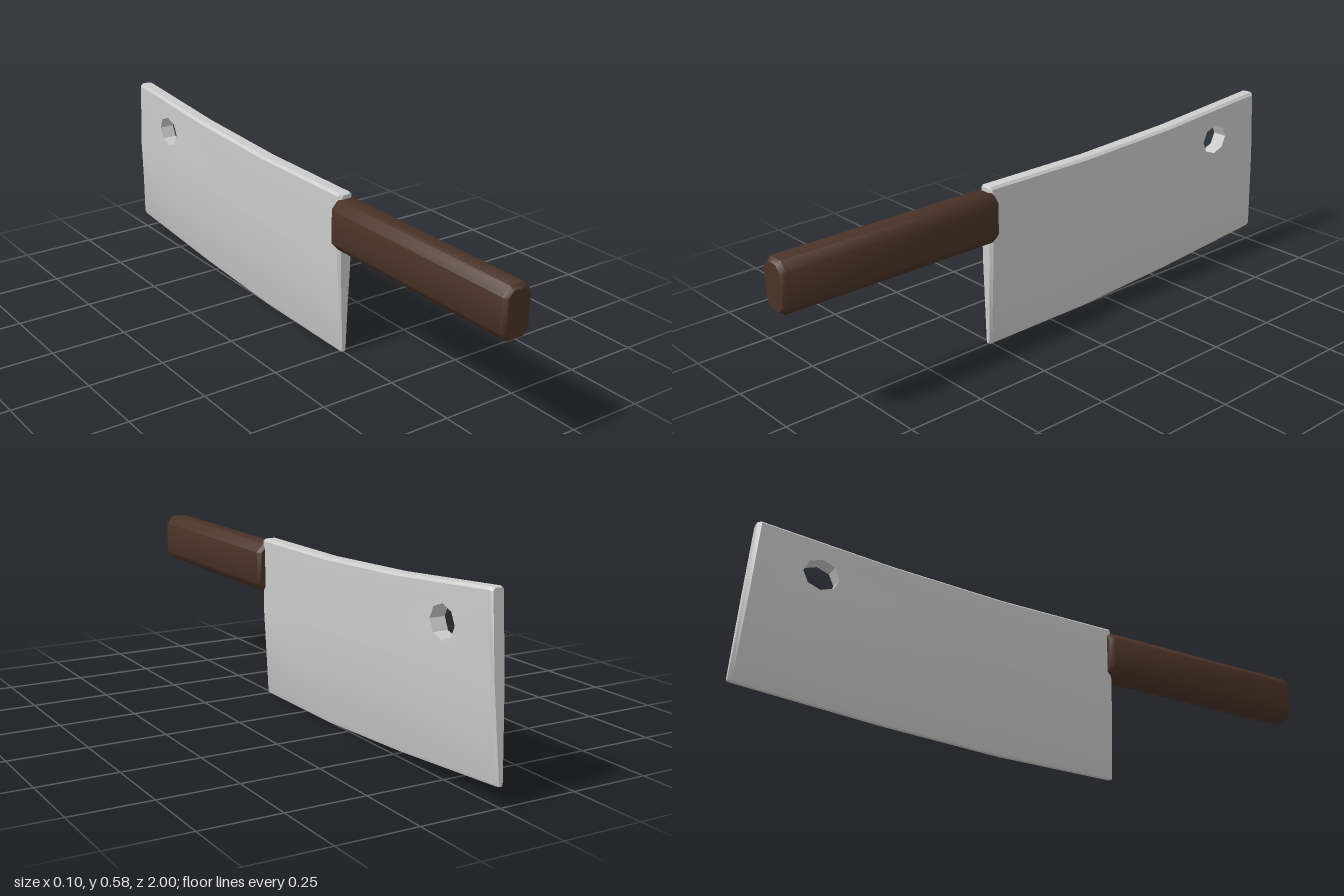
import * as THREE from 'three';
import { mergeGeometries, toCreasedNormals } from 'three/addons/utils/BufferGeometryUtils.js';

const lerp = THREE.MathUtils.lerp;

// Blade stations from heel to tip: z at edge, z at spine, y of edge, y of spine, width scale
const stations = [
  [0.262, 0.262, 0.002, 0.526, 0.65],
  [0.254, 0.254, 0, 0.53, 1],
  [-0.15, -0.15, 0.002, 0.53, 1],
  [-0.54, -0.53, 0.022, 0.546, 1],
  [-0.988, -0.952, 0.057, 0.579, 1],
  [-1, -0.963, 0.059, 0.577, 0.65],
];
// Half cross-section from spine to edge: half width, height fraction
const profile = [[0.017, 1], [0.025, 0.985], [0.025, 0.55], [0.01, 0.02], [0.006, 0]];
const ringProfile = [...profile, ...profile.map(([x, f]) => [-x, f]).reverse()];

function bladePoint([zEdge, zSpine, yEdge, ySpine, scale], [x, f]) {
  return [x * scale, lerp(yEdge, ySpine, f), lerp(zEdge, zSpine, f)];
}

// Tapered shell, left open where the flat cheek plate sits
function bladeShell() {
  const rings = stations.map(s => ringProfile.map(p => bladePoint(s, p)));
  const n = ringProfile.length, last = rings.length - 1, pos = [];
  const tri = (...points) => points.forEach(p => pos.push(...p));
  for (let s = 0; s < last; s++) {
    for (let i = 0; i < n; i++) {
      const cheek = (i === 1 || i === 7) && s > 0 && s < last - 1;
      if (cheek) continue;
      const j = (i + 1) % n;
      const a = rings[s][i], b = rings[s][j], c = rings[s + 1][j], d = rings[s + 1][i];
      tri(a, b, c);
      tri(a, c, d);
    }
  }
  // End faces, in strips between mirrored profile points
  for (let i = 0; i < profile.length - 1; i++) {
    const k = n - 1 - i, h = rings[0], t = rings[last];
    tri(h[i], h[k], h[k - 1]);
    tri(h[i], h[k - 1], h[i + 1]);
    tri(t[i], t[k - 1], t[k]);
    tri(t[i], t[i + 1], t[k - 1]);
  }
  const geo = new THREE.BufferGeometry();
  geo.setAttribute('position', new THREE.Float32BufferAttribute(pos, 3));
  return geo;
}

// Parallel-sided upper plate with the hanging hole
function cheekPlate() {
  const inner = stations.slice(1, -1);
  const outline = (p) => inner.map(s => {
    const [, y, z] = bladePoint(s, p);
    return new THREE.Vector2(-z, y);
  });
  const shape = new THREE.Shape([...outline(profile[2]), ...outline(profile[1]).reverse()]);
  const hole = [];
  for (let i = 0; i < 8; i++) {
    const a = i * Math.PI / 4;
    hole.push(new THREE.Vector2(0.759 + 0.057 * Math.cos(a), 0.45 + 0.051 * Math.sin(a)));
  }
  shape.holes.push(new THREE.Path(hole));
  const geo = new THREE.ExtrudeGeometry(shape, { depth: 0.05, bevelEnabled: false });
  geo.translate(0, 0, -0.025).rotateY(Math.PI / 2);
  geo.deleteAttribute('uv');
  geo.deleteAttribute('normal');
  return geo;
}

// Octagonal grip with softened ends
function handleGeometry() {
  const corners = [[0.025, 0.353], [0.049, 0.38], [0.049, 0.486], [0.025, 0.513]];
  const mirrored = corners.map(([x, y]) => [-x, y]).reverse();
  const shape = new THREE.Shape([...corners, ...mirrored].map(([x, y]) => new THREE.Vector2(x, y)));
  const bevel = 0.014;
  const geo = new THREE.ExtrudeGeometry(shape, {
    depth: 0.757 - 2 * bevel, bevelThickness: bevel, bevelSize: 0.01, bevelOffset: -0.01, bevelSegments: 1,
  });
  geo.translate(0, 0, 0.243 + bevel);
  return toCreasedNormals(geo, 0.9);
}

export function createModel() {
  const group = new THREE.Group();
  group.name = 'cleaver';

  const steel = new THREE.MeshStandardMaterial({ color: 0xcccccc });
  const bladeGeo = mergeGeometries([bladeShell(), cheekPlate()]);
  const blade = new THREE.Mesh(toCreasedNormals(bladeGeo, 0.6), steel);
  blade.name = 'blade';

  const wood = new THREE.MeshStandardMaterial({ color: 0x4a3226 });
  const handle = new THREE.Mesh(handleGeometry(), wood);
  handle.name = 'handle';

  group.add(blade, handle);
  return group;
}
